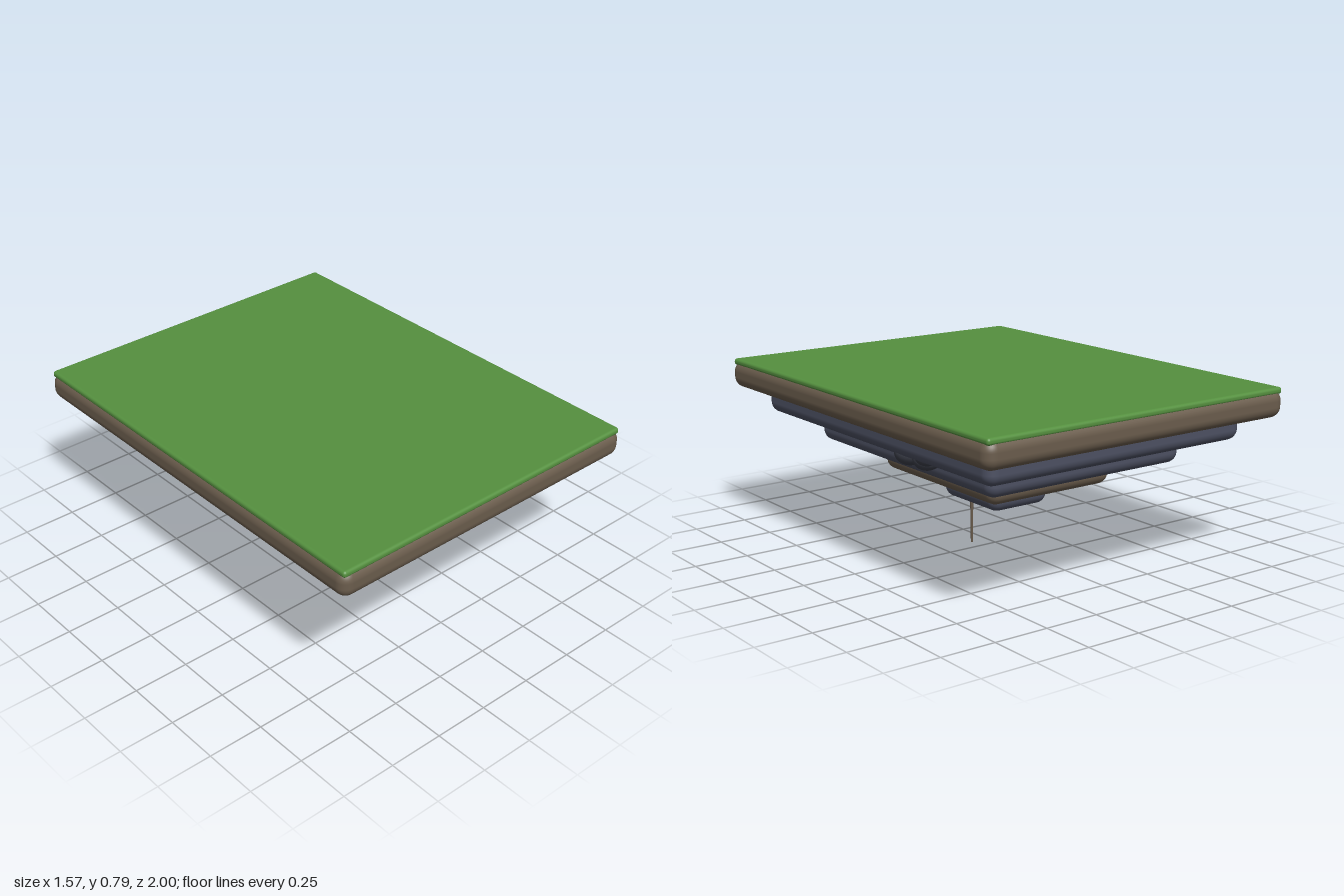
import * as THREE from 'three';
import { RoundedBoxGeometry } from 'three/addons/geometries/RoundedBoxGeometry.js';

const mat = (color) => new THREE.MeshStandardMaterial({ color });

export function createModel() {
  const group = new THREE.Group();
  const grass = mat(0x55903f), soil = mat(0x6b5d4d), rock = mat(0x4d5163), stone = mat(0x3c3f4a);

  const add = (parent, name, geometry, material, x, y, z) => {
    const mesh = new THREE.Mesh(geometry, material);
    mesh.name = name;
    mesh.position.set(x, y, z);
    parent.add(mesh);
    return mesh;
  };

  // Turf slab on top
  add(group, 'grassTop', new RoundedBoxGeometry(1.55, 0.03, 1.98, 4, 0.013), grass, 0, 0.775, 0);

  // Stepped layers, each smaller than the one above: name, width, depth, bottom, material
  const layers = [
    ['upperSoil', 1.57, 2.0, 0.657, soil],
    ['upperRock', 1.35, 1.72, 0.549, rock],
    ['middleRock', 1.03, 1.32, 0.432, rock],
    ['lowerSoil', 0.656, 0.84, 0.315, soil],
    ['lowerRock', 0.312, 0.4, 0.205, rock],
  ];
  for (const [name, w, d, bottom, material] of layers) {
    add(group, name, new RoundedBoxGeometry(w, 0.125, d, 6, 0.05), material, 0, bottom + 0.0625, 0);
  }

  // Clusters of rounded stones beneath the upper rock: x, y, z, radius
  const clusters = {
    leftStones: [[0.56, 0.54, -0.28, 0.058], [0.59, 0.555, -0.2, 0.062], [0.54, 0.565, -0.13, 0.05], [0.6, 0.57, -0.34, 0.05]],
    rightStones: [[-0.54, 0.54, -0.42, 0.06], [-0.58, 0.555, -0.36, 0.055], [-0.52, 0.565, -0.48, 0.05]],
    frontStones: [[-0.25, 0.575, 0.7, 0.055], [-0.29, 0.585, 0.67, 0.05]],
  };
  for (const [name, stones] of Object.entries(clusters)) {
    const cluster = new THREE.Group();
    cluster.name = name;
    for (const [x, y, z, r] of stones) {
      add(cluster, 'stone', new THREE.SphereGeometry(r, 20, 14), stone, x, y, z).scale.set(1.1, 0.9, 1.1);
    }
    group.add(cluster);
  }

  // Thin root hanging from the lowest rock
  add(group, 'root', new THREE.CylinderGeometry(0.008, 0.005, 0.25, 8), soil, 0.083, 0.125, 0.067);

  return group;
}
